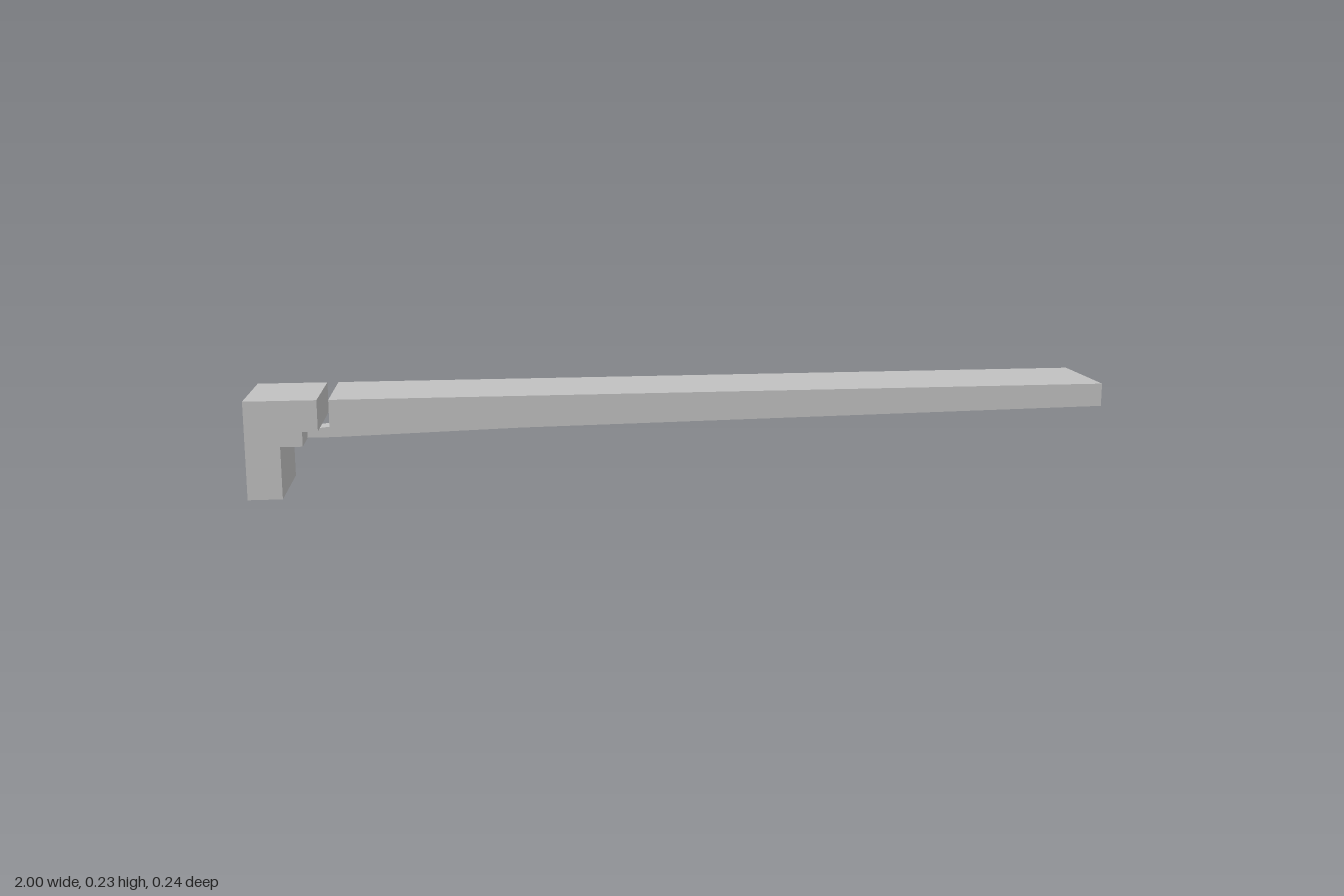
import * as THREE from 'three';

const W = 0.238; // overall width along z

export function createModel() {
  const group = new THREE.Group();
  const grey = new THREE.MeshStandardMaterial({ color: 0xc0c0c0 });
  grey.name = 'light grey';

  const add = (name, geometry) => {
    const mesh = new THREE.Mesh(geometry, grey);
    mesh.name = name;
    group.add(mesh);
    return mesh;
  };
  const shapeOf = (points) => new THREE.Shape(points.map(([a, b]) => new THREE.Vector2(a, b)));

  // Side profile (x, y) swept across z
  const sweep = (name, points, width) => {
    const g = new THREE.ExtrudeGeometry(shapeOf(points), { depth: width, bevelEnabled: false });
    g.translate(0, 0, -width / 2);
    return add(name, g);
  };

  // Bracket head, stepped underneath
  sweep('bracketHead', [
    [-1, 0.121], [-0.872, 0.121], [-0.872, 0.155], [-0.837, 0.155], [-0.837, 0.227], [-1, 0.227],
  ], W);

  // Bracket leg with a shallow slot running through it just under the head
  const h = W / 2, s = 0.072;
  const leg = new THREE.ExtrudeGeometry(shapeOf([
    [-h, 0], [h, 0], [h, 0.121], [s, 0.121], [s, 0.114], [-s, 0.114], [-s, 0.121], [-h, 0.121],
  ]), { depth: 0.078, bevelEnabled: false });
  leg.rotateY(Math.PI / 2);
  leg.translate(-1, 0, 0);
  add('bracketLeg', leg);

  // Small stop inside the slot
  const stop = add('slotStop', new THREE.BoxGeometry(0.05, 0.007, 0.022));
  stop.position.set(-0.95, 0.1175, -0.009);

  // Long board, tapering toward the free end
  sweep('board', [[-0.811, 0.147], [1, 0.173], [1, 0.227], [-0.811, 0.227]], W);

  // Narrow rib under the board, joining it to the bracket
  sweep('rib', [
    [-0.9, 0.122], [-0.811, 0.122], [0.94, 0.1715], [0.94, 0.18], [-0.8, 0.15], [-0.811, 0.148], [-0.9, 0.138],
  ], 0.05);

  return group;
}
